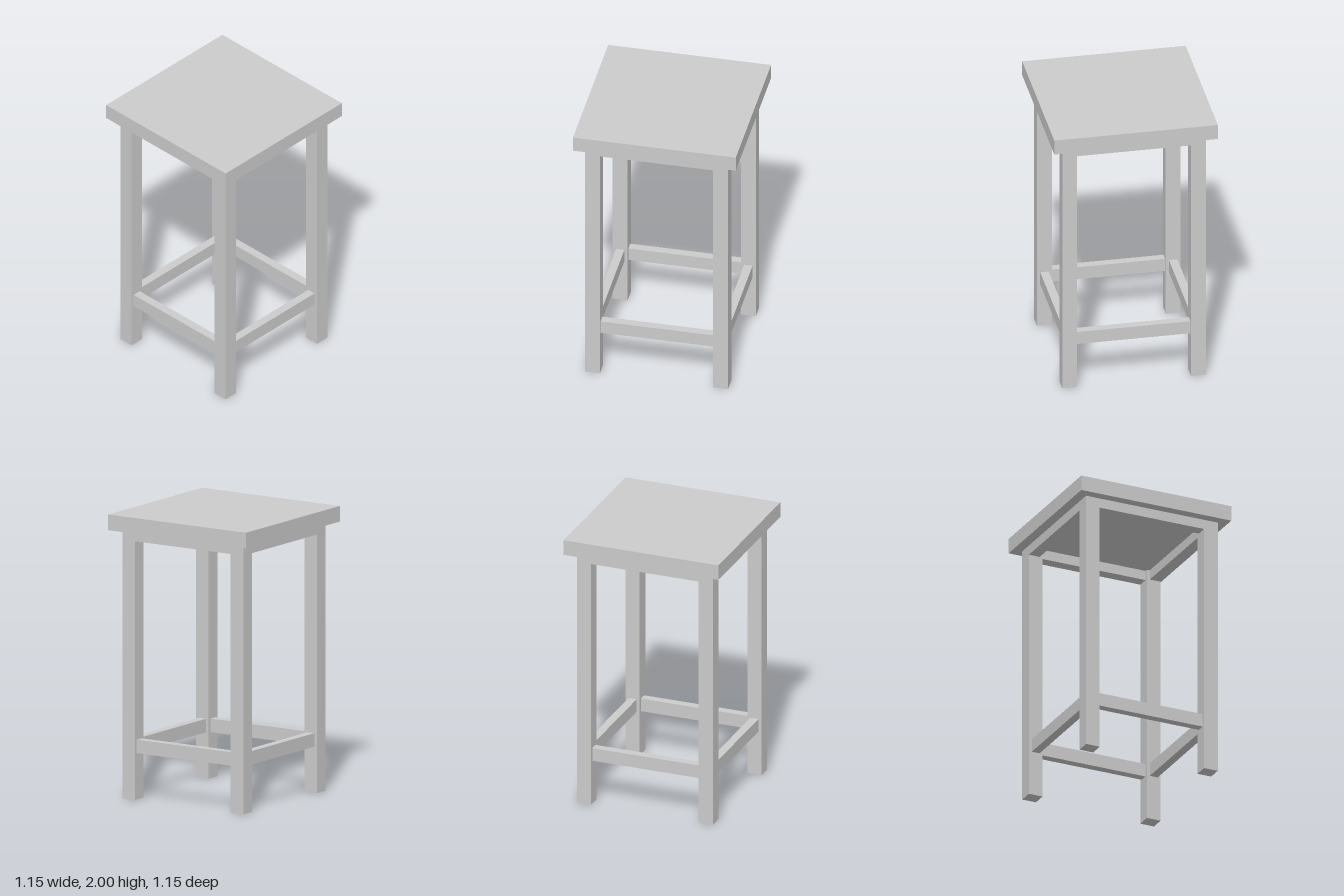
import * as THREE from 'three';

const LEG_IN = 0.4, LEG_OUT = 0.505, SEAT_BOTTOM = 1.89;

export function createModel() {
  const model = new THREE.Group();
  model.name = 'stool';
  const material = new THREE.MeshStandardMaterial({ color: 0xcccccc, flatShading: true });

  // Box given by its size, its centre in x and z, and its bottom height
  function addBox(parent, name, w, h, d, x, bottom, z) {
    const mesh = new THREE.Mesh(new THREE.BoxGeometry(w, h, d), material);
    mesh.name = name;
    mesh.position.set(x, bottom + h / 2, z);
    parent.add(mesh);
  }

  // Square seat slab
  addBox(model, 'seat', 1.15, 2 - SEAT_BOTTOM, 1.15, 0, SEAT_BOTTOM, 0);

  // Four square legs
  const legSize = LEG_OUT - LEG_IN, legCentre = (LEG_OUT + LEG_IN) / 2;
  for (const [zName, z] of [['front', 1], ['back', -1]]) {
    for (const [xName, x] of [['Left', 1], ['Right', -1]]) {
      addBox(model, `${zName}${xName}Leg`, legSize, SEAT_BOTTOM, legSize, x * legCentre, 0, z * legCentre);
    }
  }

  // Apron rail flush with the legs and a low stretcher on each side
  const apronDepth = 0.083;
  ['front', 'left', 'back', 'right'].forEach((name, i) => {
    const side = new THREE.Group();
    side.name = `${name}Rails`;
    side.rotation.y = i * Math.PI / 2;
    addBox(side, `${name}Apron`, LEG_IN * 2, SEAT_BOTTOM - 1.82, apronDepth, 0, 1.82, LEG_OUT - apronDepth / 2);
    addBox(side, `${name}Stretcher`, LEG_IN * 2, 0.095, 0.06, 0, 0.325, legCentre);
    model.add(side);
  });

  return model;
}
